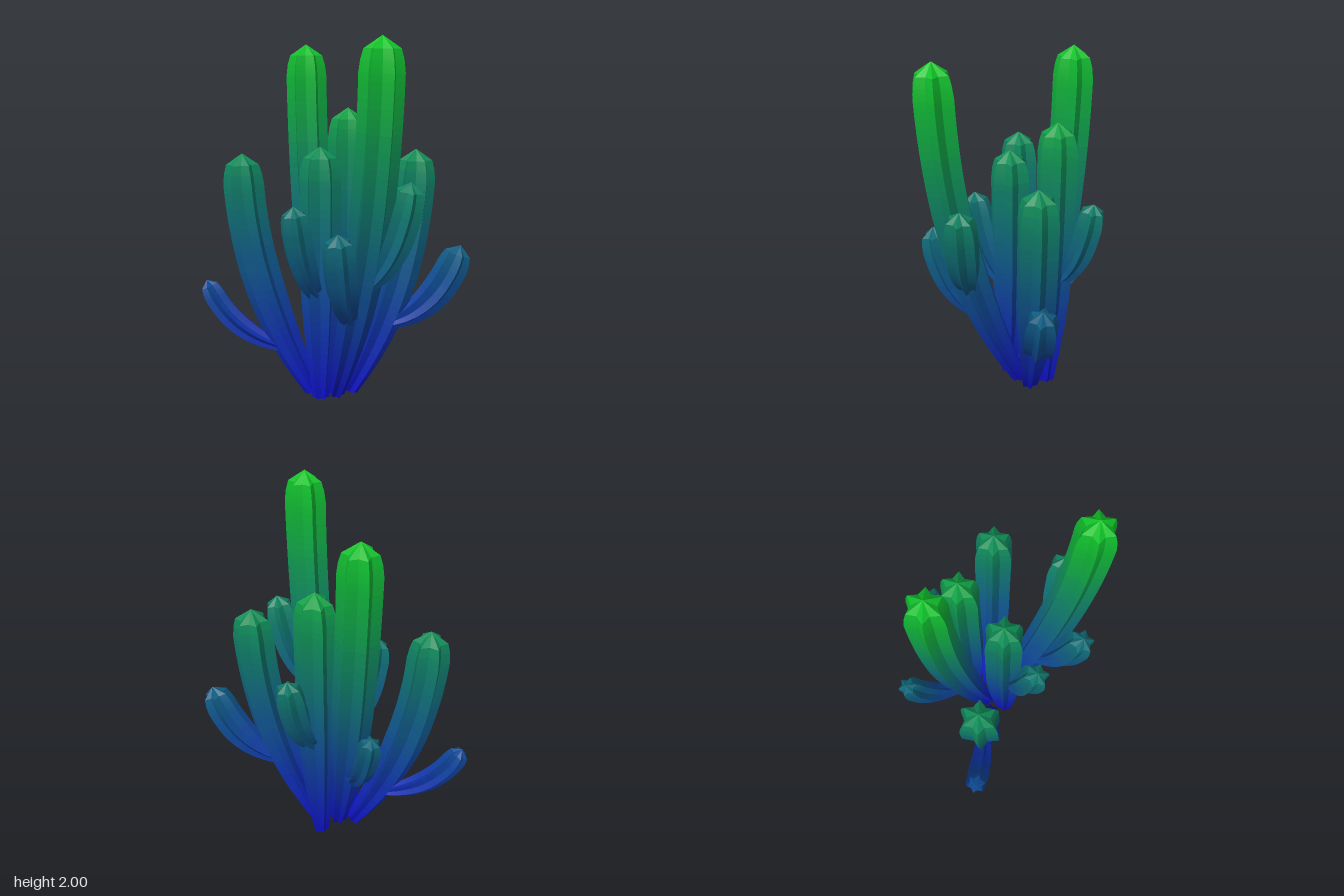
import * as THREE from 'three';
import { toCreasedNormals } from 'three/addons/utils/BufferGeometryUtils.js';

const RIBS = 6, SIDES = RIBS * 2, VALLEY = 0.66, BANDS = 50;
const UP = new THREE.Vector3(0, 1, 0);

// Blue at the foot to green at the crown, one plain material per height band
function makePalette() {
  const mix = (a, b, t) => (a + (b - a) * t) / 255;
  return Array.from({ length: BANDS }, (_, i) => {
    const t = (i + 0.5) / BANDS;
    const color = new THREE.Color().setRGB(
      mix(14, 16, t), mix(14, 200, t), mix(200, 36, t), THREE.SRGBColorSpace);
    return new THREE.MeshStandardMaterial({ color });
  });
}

// A ribbed column: star-shaped rings swept along a curve, with a pointed crown
function ribbedColumn(curve, radius, footScale, swell, phase) {
  const length = curve.getLength();
  const k = radius / 0.11;
  const body = 1 - (0.17 * k) / length;
  const steps = Math.ceil(length / 0.045);
  const stations = [[0, 0]];
  for (let i = 0; i <= steps; i++) {
    const u = (i / steps) * body;
    const grow = Math.sin(Math.min(u / swell, 1) * Math.PI / 2);
    stations.push([u, footScale + (1 - footScale) * grow]);
  }
  stations.push([1 - 0.11 * k / length, 0.93], [1 - 0.06 * k / length, 0.8],
    [1 - 0.03 * k / length, 0.4], [1, 0]);

  const positions = [], index = [], heights = [];
  const q = new THREE.Quaternion(), p = new THREE.Vector3();
  for (const [u, s] of stations) {
    const centre = curve.getPointAt(u);
    q.setFromUnitVectors(UP, curve.getTangentAt(u));
    heights.push(centre.y);
    for (let j = 0; j < SIDES; j++) {
      const a = phase + (j / SIDES) * Math.PI * 2;
      const r = radius * s * (j % 2 ? VALLEY : 1);
      p.set(Math.cos(a) * r, 0, Math.sin(a) * r).applyQuaternion(q).add(centre);
      positions.push(p.x, p.y, p.z);
    }
  }

  const geometry = new THREE.BufferGeometry();
  const last = stations.length - 2;
  for (let i = 0; i <= last; i++) {
    const start = index.length;
    for (let j = 0; j < SIDES; j++) {
      const a = i * SIDES + j, b = i * SIDES + (j + 1) % SIDES;
      const c = a + SIDES, d = b + SIDES;
      if (i < last) index.push(a, c, d);
      if (i > 0) index.push(a, d, b);
    }
    const t = (heights[i] + heights[i + 1]) / 4;
    const band = Math.min(BANDS - 1, Math.max(0, Math.floor(t * BANDS)));
    geometry.addGroup(start, index.length - start, band);
  }
  geometry.setAttribute('position', new THREE.Float32BufferAttribute(positions, 3));
  geometry.setIndex(index);
  return toCreasedNormals(geometry, 0.5);
}

// Curve that leans outward first, then rises
function bend(from, to, lean, rise) {
  const a = new THREE.Vector3(...from), b = new THREE.Vector3(...to);
  const c = a.clone().lerp(b, lean);
  c.y = a.y + (b.y - a.y) * rise;
  return new THREE.QuadraticBezierCurve3(a, c, b);
}

// Each stem: foot, crown, and its arms as [root, tip, radius]
const STEMS = [
  { name: 'frontStem', foot: [-0.03, 0.02, -0.01], crown: [-0.13, 2.0, 0.48], arms: [
    [[-0.11, 0.72, 0.3], [0.05, 1.29, 0.5], 0.09],
    [[-0.11, 0.53, 0.22], [-0.31, 1.05, 0.37], 0.09]] },
  { name: 'backStem', foot: [-0.03, 0.02, -0.08], crown: [0.03, 1.96, -0.36], arms: [
    [[0.0, 0.48, -0.23], [0.06, 0.98, -0.55], 0.065]] },
  { name: 'innerLeftStem', foot: [0.1, 0.02, -0.1], crown: [0.14, 1.62, -0.12], arms: [
    [[0.13, 0.68, -0.12], [0.34, 1.2, -0.19], 0.08]] },
  { name: 'backRightStem', foot: [-0.11, 0.02, -0.12], crown: [-0.39, 1.38, -0.38], arms: [
    [[-0.22, 0.27, -0.23], [-0.55, 0.66, -0.53], 0.066]] },
  { name: 'innerRightStem', foot: [-0.13, 0.02, -0.02], crown: [-0.12, 1.43, -0.03], arms: [
    [[-0.13, 0.6, -0.02], [-0.34, 1.14, 0.03], 0.085]] },
  { name: 'frontLeftStem', foot: [0.06, 0.02, 0.0], crown: [0.33, 1.41, 0.23], arms: [
    [[0.23, 0.43, 0.15], [0.52, 0.88, 0.4], 0.09]] },
];

export function createModel() {
  const model = new THREE.Group();
  model.name = 'cactus';
  const palette = makePalette();
  const phase = Math.PI / 2 + 0.15;

  for (const { name, foot, crown, arms } of STEMS) {
    const plant = new THREE.Group();
    plant.name = name + 'Group';
    const stem = new THREE.Mesh(
      ribbedColumn(bend(foot, crown, 1, 0.48), 0.112, 0.42, 0.55, phase), palette);
    stem.name = name;
    plant.add(stem);
    // Short side arms
    arms.forEach(([root, tip, radius], i) => {
      const arm = new THREE.Mesh(
        ribbedColumn(bend(root, tip, 0.72, 0.2), radius, 0.4, 0.6, phase + 0.3), palette);
      arm.name = name + 'Arm' + (i + 1);
      plant.add(arm);
    });
    model.add(plant);
  }
  return model;
}
